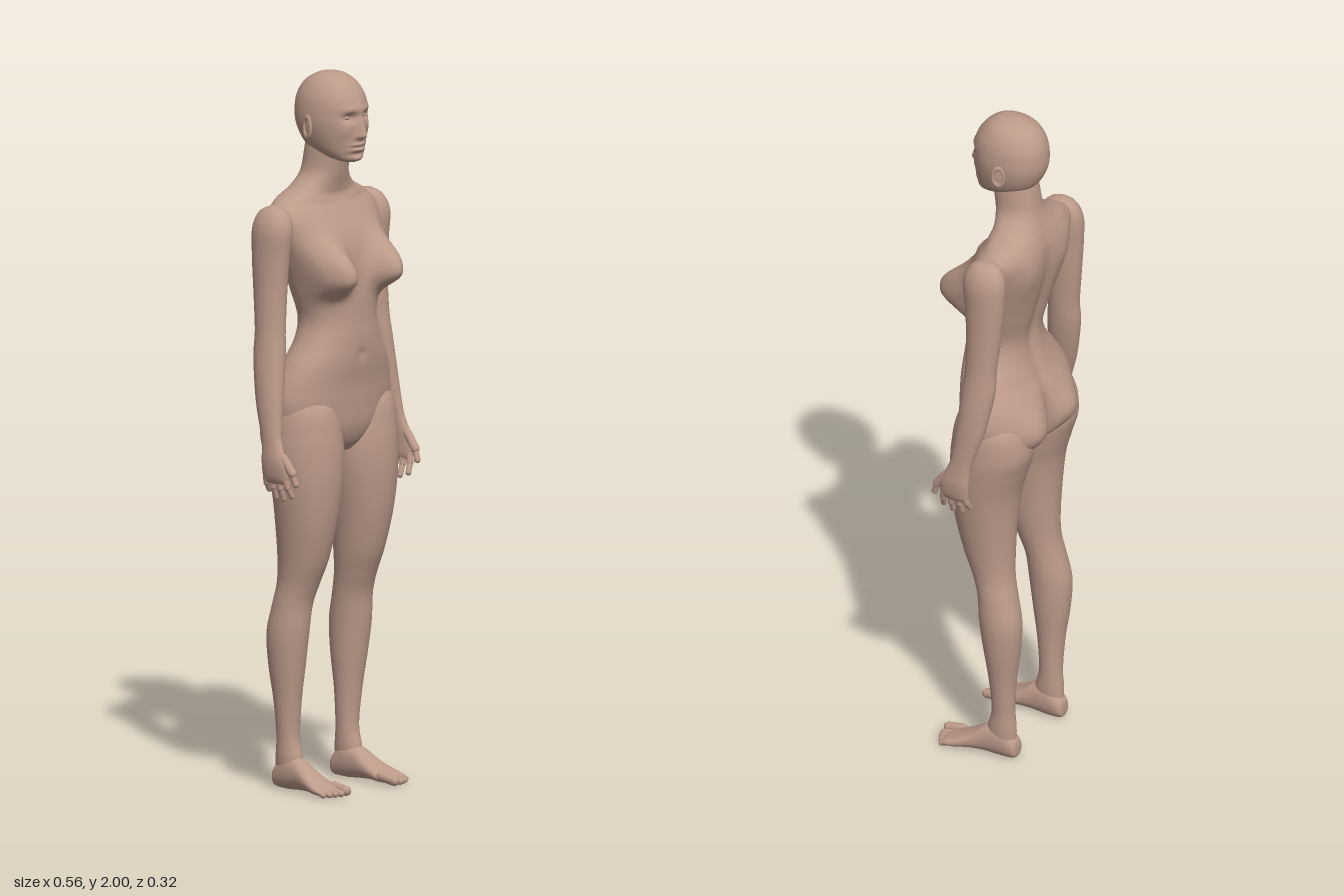
import * as THREE from 'three';

const skin = new THREE.MeshStandardMaterial({ color: 0xbc9a8a });
skin.name = 'skin';

const bell = (d, w) => Math.exp(-((d / w) ** 2));
const power = (v, p) => Math.sign(v) * Math.abs(v) ** p;

// Smooth curve through the values of four neighbouring sections.
function spline(a, b, c, d, f) {
  return b + 0.5 * f * (c - a + f * (2 * a - 5 * b + 4 * c - d + f * (3 * (b - c) + d - a)));
}

// Lofts sections [t, centre, halfWidth, front, back]; place(p) may move each point (x = across, y = along, z = depth).
function loft(name, sections, { sides = 40, steps = 6, round = 2.2, place = (p) => p } = {}) {
  const last = sections.length - 1;
  const rings = [];
  for (let i = 0; i <= last * steps; i++) {
    const k = Math.min(Math.floor(i / steps), last - 1);
    const f = i / steps - k;
    const at = (n) => sections[Math.max(0, Math.min(last, n))];
    rings.push(sections[0].map((_, j) => spline(at(k - 1)[j], at(k)[j], at(k + 1)[j], at(k + 2)[j], f)));
  }
  // Close both ends on a point.
  const close = ([t, c, , f, b]) => [t, c, 0, (f + b) / 2, (f + b) / 2];
  rings.unshift(close(rings[0]));
  rings.push(close(rings[rings.length - 1]));

  const pos = [];
  const index = [];
  const p = new THREE.Vector3();
  rings.forEach(([t, c, w, front, back], r) => {
    for (let s = 0; s < sides; s++) {
      const a = (s / sides) * Math.PI * 2;
      p.set(c + w * power(Math.cos(a), 2 / round), t,
        (front + back) / 2 + ((front - back) / 2) * power(Math.sin(a), 2 / round));
      place(p);
      pos.push(p.x, p.y, p.z);
      if (r === 0) continue;
      const n = (s + 1) % sides;
      const lo = (r - 1) * sides;
      const hi = r * sides;
      index.push(lo + s, hi + s, hi + n, lo + s, hi + n, lo + n);
    }
  });

  // Turn the faces outward whichever way the sections run.
  const A = new THREE.Vector3(), B = new THREE.Vector3(), C = new THREE.Vector3();
  let volume = 0;
  for (let i = 0; i < index.length; i += 3) {
    A.fromArray(pos, index[i] * 3);
    B.fromArray(pos, index[i + 1] * 3);
    C.fromArray(pos, index[i + 2] * 3);
    volume += A.dot(B.cross(C));
  }
  if (volume < 0) index.reverse();
  const geo = new THREE.BufferGeometry();
  geo.setAttribute('position', new THREE.Float32BufferAttribute(pos, 3));
  geo.setIndex(index);
  geo.computeVertexNormals();
  const mesh = new THREE.Mesh(geo, skin);
  mesh.name = name;
  return mesh;
}

// Rounded rod between two points, for fingers and toes.
function rod(name, from, to, radius) {
  const a = new THREE.Vector3(...from);
  const b = new THREE.Vector3(...to);
  const mesh = new THREE.Mesh(new THREE.CapsuleGeometry(radius, a.distanceTo(b), 6, 14), skin);
  mesh.position.copy(a).lerp(b, 0.5);
  mesh.quaternion.setFromUnitVectors(new THREE.Vector3(0, 1, 0), b.sub(a).normalize());
  mesh.name = name;
  return mesh;
}

function ellipsoid(name, position, scale) {
  const mesh = new THREE.Mesh(new THREE.SphereGeometry(1, 20, 14), skin);
  mesh.position.set(...position);
  mesh.scale.set(...scale);
  mesh.name = name;
  return mesh;
}

// Swells and grooves of the trunk.
function shapeTorso(p) {
  const { y, z } = p;
  const x = Math.abs(p.x);
  const mid = -0.015;
  if (z > mid) {
    const depth = Math.min(1, (z - mid) / 0.04);
    const dy = (y - 1.445) / (y > 1.445 ? 0.085 : 0.05);
    const q = ((x - 0.108) / 0.056) ** 2 + dy * dy;
    p.z += depth * 0.088 * Math.exp(-(q ** 1.25));
    p.z -= depth * 0.006 * bell(x, 0.012) * bell(y - 1.22, 0.014);
    p.z += depth * 0.007 * bell(y - 1.645 - x * 0.1, 0.012) * bell(x - 0.08, 0.06);
  } else {
    const depth = Math.min(1, (mid - z) / 0.05);
    p.z -= depth * 0.045 * bell(x - 0.09, 0.075) * bell(y - 1.05, 0.075);
    p.z += depth * 0.035 * bell(x, 0.014) * bell(y - 1.03, 0.085);
    p.z += depth * 0.014 * bell(x, 0.025) * bell(y - 1.4, 0.19);
    p.z -= depth * 0.01 * bell(x - 0.09, 0.045) * bell(y - 1.56, 0.07);
  }
  return p;
}

// Brow, eye sockets, nose, lips and chin.
function shapeFace(p) {
  if (p.z < 0.02) return p;
  const { y } = p;
  const x = Math.abs(p.x);
  const depth = Math.min(1, (p.z - 0.02) / 0.04);
  const bridge = Math.max(0, Math.min(1, (1.885 - y) / 0.055));
  const tip = y < 1.83 ? bell(y - 1.83, 0.01) : 1;
  p.z += depth * (
    0.005 * bell(y - 1.903, 0.012) * bell(x - 0.03, 0.03)
    - 0.014 * bell(x - 0.033, 0.018) * bell(y - 1.881, 0.013)
    + (0.004 + 0.02 * bridge) * (y < 1.9 ? 1 : bell(y - 1.9, 0.02)) * tip * bell(x, 0.011 + 0.004 * bridge)
    + 0.008 * bell(x, 0.024) * (bell(y - 1.805, 0.006) + bell(y - 1.79, 0.006))
    - 0.004 * bell(x, 0.025) * bell(y - 1.7975, 0.003)
    - 0.005 * bell(x, 0.03) * bell(y - 1.778, 0.007)
    + 0.005 * bell(x, 0.022) * bell(y - 1.763, 0.01)
    + 0.004 * bell(x - 0.05, 0.018) * bell(y - 1.845, 0.02));
  return p;
}

function buildLimbs(side) {
  const group = new THREE.Group();
  group.name = side > 0 ? 'leftLimbs' : 'rightLimbs';
  const flip = (p) => { p.x *= side; return p; };
  const at = (x, y, z) => [side * x, y, z];

  group.add(loft('leg', [
    [1.14, 0.11, 0.05, 0.03, -0.07], [1.08, 0.115, 0.094, 0.078, -0.125],
    [1.0, 0.114, 0.106, 0.095, -0.14], [0.93, 0.113, 0.106, 0.1, -0.122],
    [0.85, 0.115, 0.096, 0.098, -0.1], [0.75, 0.117, 0.081, 0.085, -0.09],
    [0.65, 0.117, 0.067, 0.06, -0.086], [0.58, 0.12, 0.058, 0.032, -0.088],
    [0.52, 0.126, 0.056, 0.012, -0.1], [0.44, 0.131, 0.056, 0.004, -0.117],
    [0.35, 0.13, 0.05, -0.008, -0.113], [0.25, 0.127, 0.039, -0.022, -0.1],
    [0.15, 0.124, 0.031, -0.028, -0.095], [0.09, 0.124, 0.03, -0.015, -0.1],
    [0.04, 0.124, 0.026, -0.01, -0.1],
  ], { place: flip, round: 2.05 }));

  // The foot runs along z.
  group.add(loft('foot', [
    [-0.108, 0.122, 0.012, 0.04, 0.018], [-0.1, 0.122, 0.025, 0.065, 0.005],
    [-0.06, 0.123, 0.032, 0.1, 0.001], [-0.015, 0.125, 0.034, 0.09, 0.003],
    [0.03, 0.129, 0.04, 0.06, 0.004], [0.07, 0.133, 0.047, 0.038, 0.001],
    [0.098, 0.135, 0.047, 0.026, 0.002], [0.112, 0.135, 0.04, 0.018, 0.006],
  ], { place: (p) => flip(p.set(p.x, p.z, p.y)) }));
  [[0.101, 0.13, 0.014], [0.124, 0.131, 0.0095], [0.142, 0.126, 0.009],
    [0.158, 0.119, 0.0085], [0.173, 0.109, 0.008]].forEach(([x, tip, r], i) => {
    group.add(rod(`toe${i + 1}`, at(x - 0.002, r + 0.008, 0.085), at(x, r, tip), r));
  });

  // Arm tapering into the palm, which faces the thigh.
  group.add(loft('arm', [
    [1.642, 0.195, 0.012, -0.035, -0.065], [1.625, 0.198, 0.033, -0.005, -0.095],
    [1.58, 0.204, 0.045, 0.014, -0.112], [1.5, 0.208, 0.042, 0.006, -0.11],
    [1.4, 0.211, 0.039, 0, -0.102], [1.3, 0.217, 0.037, 0, -0.092],
    [1.24, 0.223, 0.037, 0.006, -0.092], [1.18, 0.231, 0.036, 0.01, -0.084],
    [1.1, 0.243, 0.03, 0.016, -0.068], [1.02, 0.255, 0.021, 0.024, -0.044],
    [0.985, 0.26, 0.018, 0.034, -0.036], [0.94, 0.264, 0.017, 0.054, -0.034],
    [0.9, 0.262, 0.014, 0.058, -0.032], [0.882, 0.26, 0.008, 0.05, -0.026],
  ], { place: flip, round: 2.05 }));
  [[0.046, 0.057, 0.848], [0.023, 0.027, 0.838], [0, -0.001, 0.841], [-0.021, -0.026, 0.86]].forEach(([z, tipZ, y], i) => {
    const mid = at(0.257, (y + 0.9) / 2, (z + tipZ) / 2);
    group.add(rod(`finger${i + 1}Base`, at(0.262, 0.9, z), mid, 0.0095));
    group.add(rod(`finger${i + 1}Tip`, mid, at(0.244, y, tipZ), 0.008));
  });
  group.add(rod('thumbBase', at(0.26, 0.955, 0.04), at(0.258, 0.915, 0.07), 0.0125));
  group.add(rod('thumbTip', at(0.258, 0.915, 0.07), at(0.255, 0.885, 0.08), 0.009));
  return group;
}

export function createModel() {
  const model = new THREE.Group();
  model.name = 'figure';

  // Trunk from the pelvis to the top of the neck.
  model.add(loft('torso', [
    [0.945, 0, 0.035, 0.045, -0.05], [0.975, 0, 0.11, 0.068, -0.1],
    [1.02, 0, 0.195, 0.083, -0.122], [1.08, 0, 0.217, 0.088, -0.125],
    [1.14, 0, 0.208, 0.092, -0.12], [1.2, 0, 0.178, 0.1, -0.1],
    [1.26, 0, 0.139, 0.103, -0.084], [1.32, 0, 0.122, 0.1, -0.082],
    [1.4, 0, 0.14, 0.098, -0.102], [1.48, 0, 0.162, 0.088, -0.122],
    [1.55, 0, 0.185, 0.07, -0.133], [1.61, 0, 0.2, 0.038, -0.133],
    [1.65, 0, 0.163, 0.014, -0.124], [1.68, 0, 0.105, 0.016, -0.113],
    [1.72, 0, 0.067, 0.026, -0.1], [1.78, 0, 0.059, 0.036, -0.09],
    [1.83, 0, 0.057, 0.03, -0.08],
  ], { sides: 112, steps: 8, place: shapeTorso }));

  model.add(loft('head', [
    [2.0, 0, 0.008, 0, -0.02], [1.993, 0, 0.034, 0.03, -0.052],
    [1.97, 0, 0.064, 0.063, -0.09], [1.93, 0, 0.083, 0.089, -0.114],
    [1.88, 0, 0.088, 0.096, -0.12], [1.84, 0, 0.083, 0.094, -0.112],
    [1.8, 0, 0.07, 0.092, -0.088], [1.775, 0, 0.055, 0.09, -0.045],
    [1.76, 0, 0.037, 0.084, 0.01], [1.753, 0, 0.015, 0.07, 0.035],
  ], { sides: 128, steps: 14, round: 2.1, place: shapeFace }));

  for (const side of [1, -1]) {
    model.add(ellipsoid('eye', [side * 0.033, 1.881, 0.068], [0.014, 0.008, 0.012]));
    // Ear: a shallow bowl with a raised rim.
    const ear = new THREE.Group();
    ear.name = 'ear';
    const rim = new THREE.Mesh(new THREE.TorusGeometry(0.016, 0.005, 8, 24), skin);
    rim.name = 'earRim';
    rim.scale.y = 1.7;
    ear.add(rim, ellipsoid('earBowl', [0, 0, -0.004], [0.016, 0.027, 0.005]));
    ear.position.set(side * 0.089, 1.851, -0.022);
    ear.rotation.set(0, side * (Math.PI / 2 + 0.3), 0);
    model.add(ear);
    model.add(buildLimbs(side));
  }
  return model;
}
